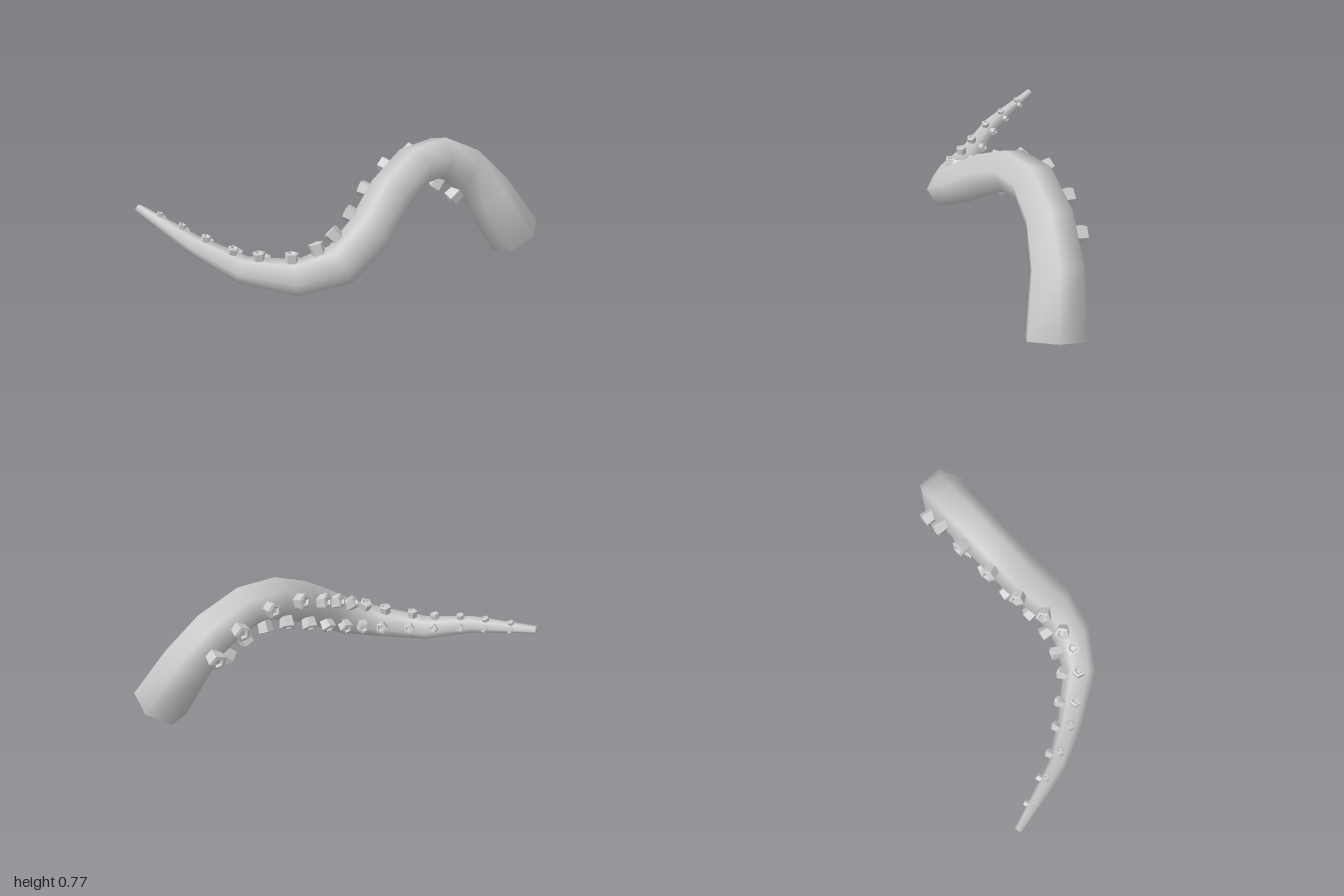
import * as THREE from 'three';

const SIDES = 6;
const PAIRS = 14;
const SPREAD = 0.62; // half angle between the two sucker rows

// rings from base to tip: centre, radius, direction the sucker side faces
const RINGS = [
  [[0.86, 0.09, 0.54], 0.165, [-0.35, -0.4, -0.85]],
  [[0.715, 0.375, 0.42], 0.145, [-0.35, -0.45, -0.8]],
  [[0.565, 0.555, 0.35], 0.132, [-0.3, -0.5, -0.8]],
  [[0.38, 0.655, 0.305], 0.124, [-0.1, -0.5, -0.85]],
  [[0.19, 0.645, 0.295], 0.122, [0, -0.4, -0.9]],
  [[-0.02, 0.54, 0.315], 0.123, [0.1, -0.15, -0.95]],
  [[-0.235, 0.395, 0.37], 0.12, [0.1, 0.15, -0.95]],
  [[-0.42, 0.27, 0.35], 0.113, [0.2, 0.5, -0.75]],
  [[-0.605, 0.212, 0.225], 0.096, [0.5, 0.6, -0.3]],
  [[-0.765, 0.22, -0.03], 0.074, [0.6, 0.7, 0.1]],
  [[-0.887, 0.315, -0.295], 0.052, [0.7, 0.45, 0.1]],
  [[-0.975, 0.425, -0.7], 0.023, [0.75, 0.4, 0.1]],
].map(([c, r, f]) => ({
  center: new THREE.Vector3(...c),
  radius: r,
  facing: new THREE.Vector3(...f).normalize(),
}));

// six-sided tapering arm, closed at both ends
function armGeometry() {
  const positions = [];
  const index = [];
  const last = RINGS.length - 1;
  const u = new THREE.Vector3(-0.03, 0.063, 0.15);
  RINGS.forEach((ring, i) => {
    const before = RINGS[Math.max(i - 1, 0)].center;
    const after = RINGS[Math.min(i + 1, last)].center;
    const tangent = after.clone().sub(before).normalize();
    u.projectOnPlane(tangent).normalize(); // carries the ring on without twist
    const v = tangent.clone().cross(u);
    for (let j = 0; j < SIDES; j++) {
      const a = (j / SIDES) * Math.PI * 2;
      const p = ring.center.clone()
        .addScaledVector(u, Math.cos(a) * ring.radius)
        .addScaledVector(v, Math.sin(a) * ring.radius);
      positions.push(p.x, p.y, p.z);
    }
  });
  const base = positions.length / 3;
  positions.push(...RINGS[0].center.toArray(), ...RINGS[last].center.toArray());
  for (let j = 0; j < SIDES; j++) {
    const k = (j + 1) % SIDES;
    for (let i = 0; i < last; i++) {
      const a = i * SIDES + j, b = i * SIDES + k;
      index.push(a, b, b + SIDES, a, b + SIDES, a + SIDES);
    }
    index.push(base, k, j);
    index.push(base + 1, last * SIDES + j, last * SIDES + k);
  }
  const geometry = new THREE.BufferGeometry();
  geometry.setAttribute('position', new THREE.Float32BufferAttribute(positions, 3));
  geometry.setIndex(index);
  geometry.computeVertexNormals();
  return geometry;
}

// values on the arm at a given length from the base
function sampleArm(length) {
  let i = 0;
  let span = RINGS[0].center.distanceTo(RINGS[1].center);
  while (length > span && i < RINGS.length - 2) {
    length -= span;
    i++;
    span = RINGS[i].center.distanceTo(RINGS[i + 1].center);
  }
  const a = RINGS[i], b = RINGS[i + 1];
  const t = length / span;
  const tangent = b.center.clone().sub(a.center).normalize();
  return {
    center: a.center.clone().lerp(b.center, t),
    radius: THREE.MathUtils.lerp(a.radius, b.radius, t),
    tangent,
    facing: a.facing.clone().lerp(b.facing, t).projectOnPlane(tangent).normalize(),
  };
}

export function createModel() {
  const model = new THREE.Group();
  model.name = 'tentacle';
  const smooth = new THREE.MeshStandardMaterial({ color: 0xcccccc });
  const faceted = new THREE.MeshStandardMaterial({ color: 0xcccccc, flatShading: true });

  const arm = new THREE.Mesh(armGeometry(), smooth);
  arm.name = 'arm';
  model.add(arm);

  // five-sided cup with a sunken middle, unit radius, opening along +y
  const profile = [[0, -0.8], [0.85, -0.8], [1, 0.7], [0.6, 0.8], [0.4, 0.5], [0, 0.5]];
  const cup = new THREE.LatheGeometry(profile.map(([x, y]) => new THREE.Vector2(x, y)), 5);

  // two rows of suckers, shrinking towards the tip
  const suckers = new THREE.Group();
  suckers.name = 'suckers';
  const up = new THREE.Vector3(0, 1, 0);
  for (let i = 0; i < PAIRS; i++) {
    const spot = sampleArm(0.5 + 0.195 * i - 0.0012 * i * i);
    for (const side of [-1, 1]) {
      const out = spot.facing.clone().applyAxisAngle(spot.tangent, side * SPREAD);
      const sucker = new THREE.Mesh(cup, faceted);
      sucker.name = 'sucker';
      sucker.position.copy(spot.center).addScaledVector(out, spot.radius * 1.08);
      sucker.quaternion.setFromUnitVectors(up, out);
      sucker.scale.setScalar(0.008 + 0.32 * spot.radius);
      suckers.add(sucker);
    }
  }
  model.add(suckers);
  return model;
}
